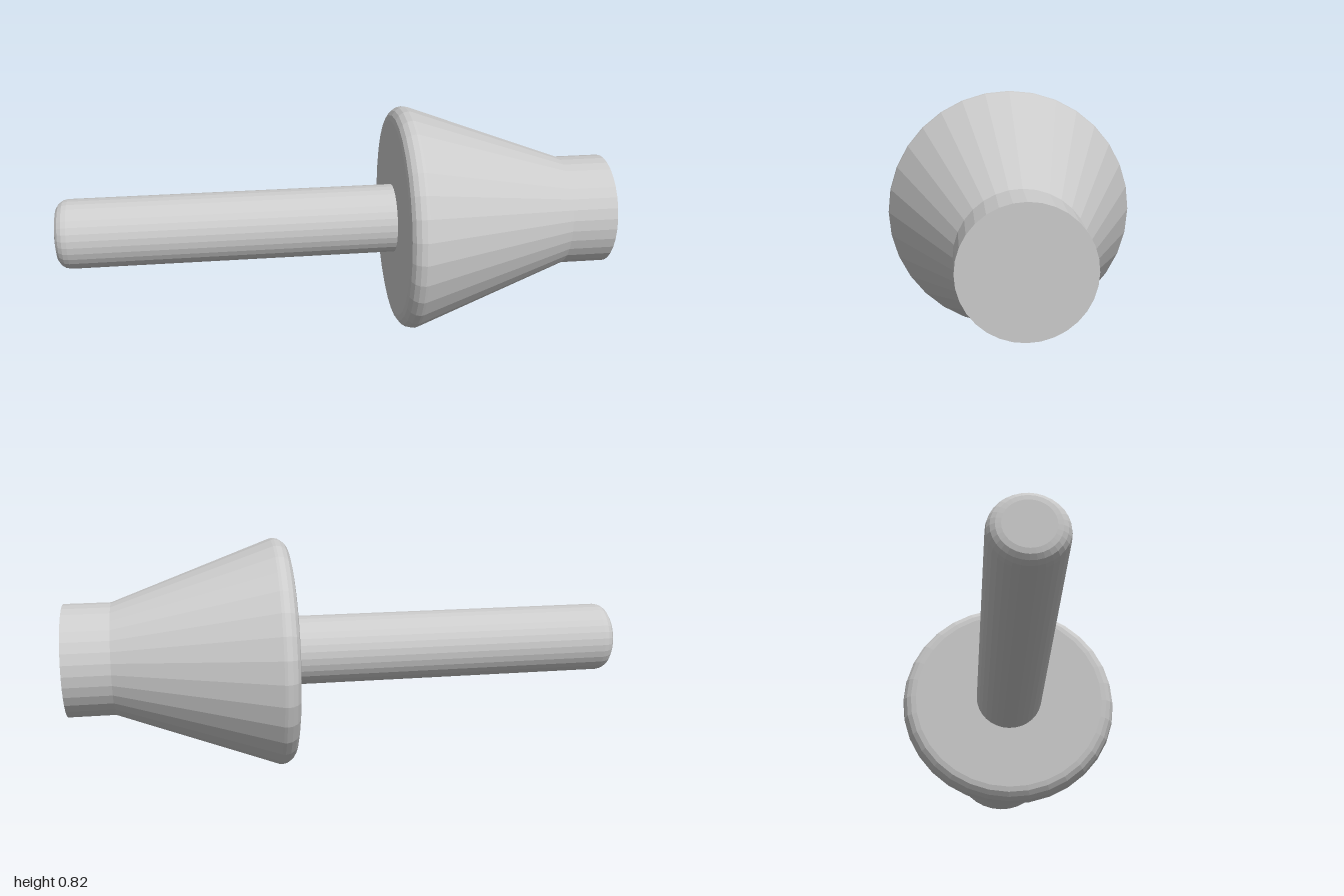
import * as THREE from 'three';

const AXIS_Y = 0.41;
const SIDES = 32;

// Quarter-round edge from a flat end at x0 up to the full radius
function roundedEdge(x0, radius, size, steps = 4) {
  const points = [];
  for (let i = 0; i <= steps; i++) {
    const a = (i / steps) * Math.PI / 2;
    points.push([x0 + size * (1 - Math.cos(a)), radius - size * (1 - Math.sin(a))]);
  }
  return points;
}

// Solid turned about the x axis from [x, radius] pairs
function turned(name, profile, material) {
  const points = profile.map(([x, r]) => new THREE.Vector2(r, x));
  const mesh = new THREE.Mesh(new THREE.LatheGeometry(points, SIDES), material);
  mesh.name = name;
  mesh.rotation.z = -Math.PI / 2;
  mesh.position.y = AXIS_Y;
  return mesh;
}

export function createModel() {
  const group = new THREE.Group();
  group.name = 'mountedCone';
  const material = new THREE.MeshStandardMaterial({ color: 0xcccccc, flatShading: true });

  // Slim shaft with a rounded free end, seated in the head
  group.add(turned('shaft', [
    [-1, 0], ...roundedEdge(-1, 0.125, 0.045), [0.22, 0.125],
  ], material));

  // Tapered head with a rounded back rim and a short cylindrical nose
  group.add(turned('head', [
    [0.21, 0], ...roundedEdge(0.21, 0.41, 0.05), [0.27, 0.408],
    [0.835, 0.2], [1, 0.2], [1, 0],
  ], material));

  return group;
}
